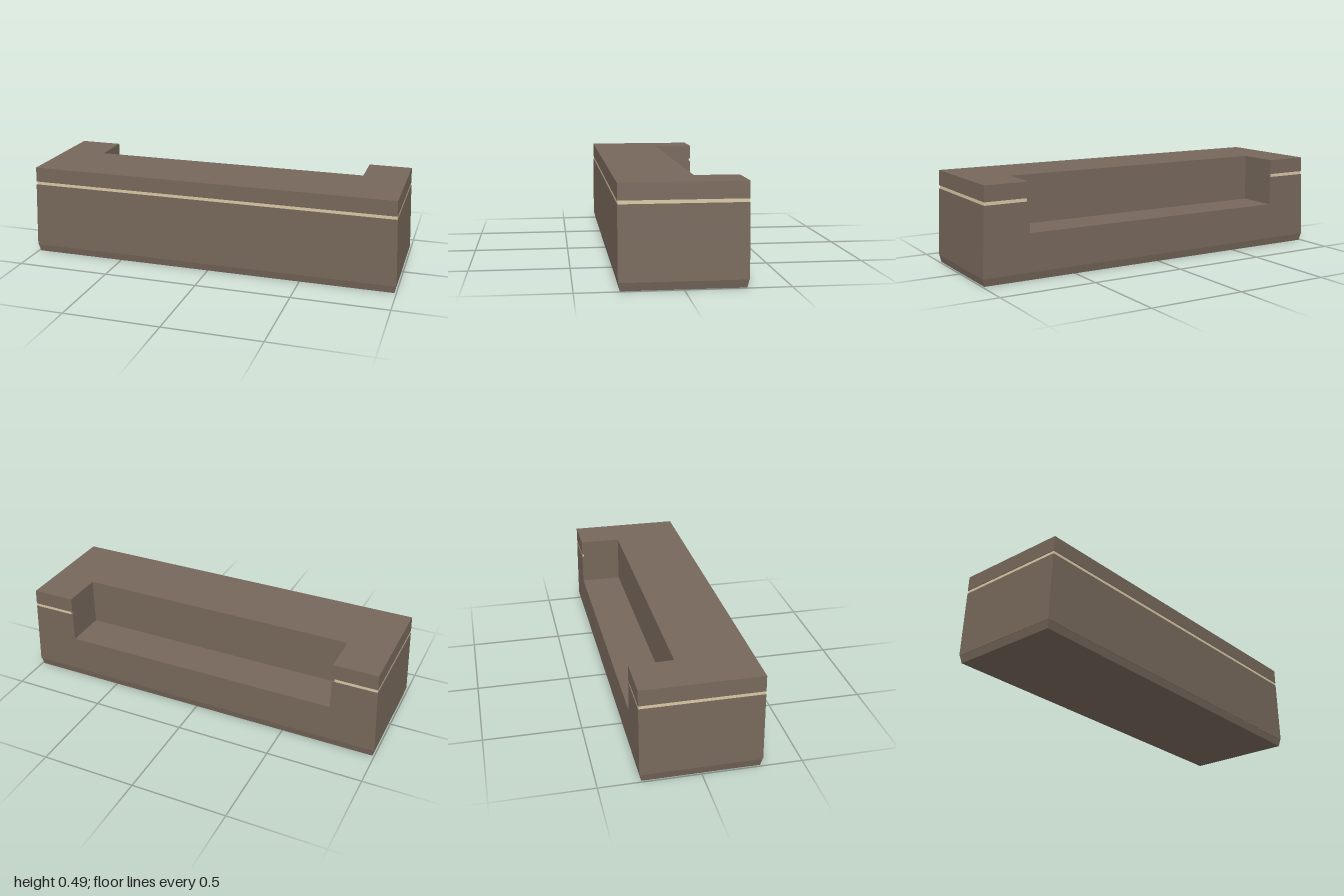
import * as THREE from 'three';

const HALF_X = 1, HALF_Z = 0.301;   // widest half sizes, just above the plinth
const NOTCH_X = 0.75, NOTCH_Z = -0.08, NOTCH_Y = 0.237;

// Footprint outline; a notched one is a U that opens to the back.
function footprint(inset, notched, notchGrow) {
  const x = HALF_X - inset, z = HALF_Z - inset;
  const nx = NOTCH_X + notchGrow, nz = NOTCH_Z + notchGrow;
  const pts = [[-x, -z], [x, -z], [x, z]];
  if (notched) pts.push([nx, z], [nx, -nz], [-nx, -nz], [-nx, z]);
  pts.push([-x, z]);
  return new THREE.Shape(pts.map(([a, b]) => new THREE.Vector2(a, b)));
}

// Upright slab from y0 to y1 whose ends lean slightly inward.
function slab(name, material, y0, y1, { inset = 0, notched = false, notchGrow = 0 } = {}) {
  let geometry = new THREE.ExtrudeGeometry(footprint(inset, notched, notchGrow),
    { depth: y1 - y0, bevelEnabled: false });
  geometry.rotateX(-Math.PI / 2).translate(0, y0, 0);
  const p = geometry.attributes.position;
  for (let i = 0; i < p.count; i++) {
    const x = p.getX(i), y = p.getY(i), z = p.getZ(i);
    const lean = Math.max(0, y - 0.04) * 0.044;
    const tuck = Math.max(0, 0.04 - y) * 0.2;
    if (Math.abs(x) > 0.9) p.setX(i, x - Math.sign(x) * (lean + tuck));
    if (Math.abs(z) > 0.2) p.setZ(i, z - Math.sign(z) * tuck);
  }
  geometry.computeVertexNormals();
  const mesh = new THREE.Mesh(geometry, material);
  mesh.name = name;
  return mesh;
}

export function createModel() {
  const brown = new THREE.MeshStandardMaterial({ color: 0x76675a });
  brown.name = 'brown';
  const cream = new THREE.MeshStandardMaterial({ color: 0xd6c6a4 });
  cream.name = 'cream';

  const counter = new THREE.Group();
  counter.name = 'counter';
  counter.add(
    // plinth tapering in towards the floor
    slab('plinth', brown, 0, 0.04, { inset: 0.002 }),
    // solid lower body, up to the work surface
    slab('lowerBody', brown, 0.04, NOTCH_Y),
    // raised U-shaped wall
    slab('upperBody', brown, NOTCH_Y, 0.393, { notched: true }),
    // recessed core closing the inside of the notch behind the trim
    slab('core', brown, 0.38, 0.42, { inset: 0.01, notched: true }),
    // pale trim strip in the groove, outside faces only
    slab('trimStrip', cream, 0.393, 0.41, { inset: 0.003, notched: true, notchGrow: 0.012 }),
    // top slab
    slab('counterTop', brown, 0.41, 0.49, { notched: true }),
  );
  return counter;
}
